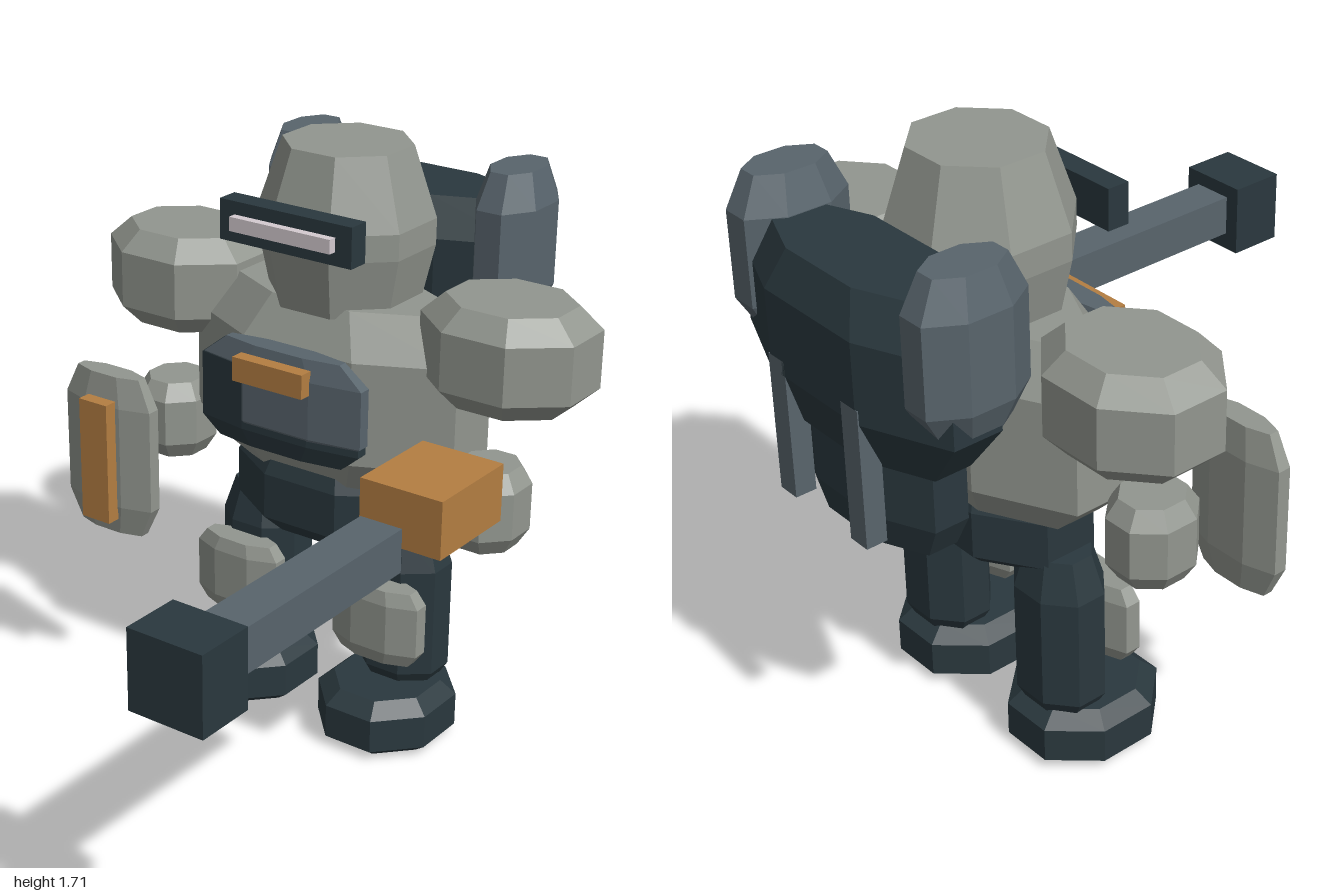
import * as THREE from 'three';

const mat = (name, color) => {
  const m = new THREE.MeshStandardMaterial({ color });
  m.name = name;
  return m;
};

export function createModel() {
  const armor = mat('grey armour', 0x92968f);
  const dark = mat('dark frame', 0x2a383e);
  const slate = mat('slate metal', 0x58646c);
  const orange = mat('orange accent', 0xb47e42);
  const glow = mat('pale visor', 0xd4cbd0);
  const model = new THREE.Group();
  model.name = 'mech';

  const add = (name, geo, material, x, y, z) => {
    const mesh = new THREE.Mesh(geo, material);
    mesh.name = name;
    mesh.position.set(x, y, z);
    model.add(mesh);
    return mesh;
  };

  // Flat-shaded octagonal block with tapered ends; rx and rz are half extents
  const block = (name, material, [x, z], [rx, rz], [y0, y1], {
    low = 0.73, high = 0.73, cutLow = 0.05, cutHigh = 0.05 } = {}) => {
    const rings = [[0, y0], [low, y0], [1, y0 + cutLow], [1, y1 - cutHigh], [high, y1], [0, y1]];
    const k = 1 / Math.cos(Math.PI / 8);
    const lathe = new THREE.LatheGeometry(rings.map(([r, y]) => new THREE.Vector2(r * k, y)), 8);
    lathe.rotateY(Math.PI / 8).scale(rx, 1, rz);
    const geo = lathe.toNonIndexed();
    geo.computeVertexNormals();
    return add(name, geo, material, x, 0, z);
  };

  // Box given by its limits on each axis
  const box = (name, material, [x0, x1], [y0, y1], [z0, z1]) =>
    add(name, new THREE.BoxGeometry(x1 - x0, y1 - y0, z1 - z0), material,
      (x0 + x1) / 2, (y0 + y1) / 2, (z0 + z1) / 2);

  // Torso and pelvis
  block('torso', armor, [0, -0.465], [0.44, 0.215], [0.765, 1.287],
    { low: 0.77, high: 0.71, cutLow: 0.1, cutHigh: 0.12 });
  block('pelvis', dark, [0, -0.455], [0.295, 0.185], [0.565, 0.8], { low: 0.75, high: 0.9 });

  // Chest plate: dark block with a slate block laid over its upper part
  block('chestPlate', dark, [-0.003, -0.192], [0.265, 0.043], [0.885, 1.183],
    { low: 0.78, high: 0.72, cutLow: 0.05, cutHigh: 0.06 });
  block('chestPlateUpper', slate, [0.003, -0.192], [0.264, 0.044], [0.94, 1.187],
    { low: 0.9, high: 0.72, cutLow: 0.02, cutHigh: 0.06 });
  box('chestBadge', orange, [-0.118, 0.115], [1.09, 1.16], [-0.155, -0.113]);

  // Head and visor
  block('head', armor, [0, -0.48], [0.235, 0.225], [1.26, 1.705],
    { low: 0.85, high: 0.73, cutLow: 0.17, cutHigh: 0.2 });
  box('visorFrame', dark, [-0.217, 0.215], [1.457, 1.572], [-0.255, -0.19]);
  box('visorSlit', glow, [-0.167, 0.163], [1.495, 1.535], [-0.19, -0.165]);

  // Backpack
  block('backpack', dark, [0, -0.83], [0.42, 0.17], [1.05, 1.52],
    { low: 0.75, high: 0.75, cutLow: 0.14, cutHigh: 0.11 });
  block('backpackLower', dark, [0, -0.815], [0.28, 0.122], [0.785, 1.2],
    { low: 0.85, cutLow: 0.09 });

  // Mirrored parts
  for (const s of [-1, 1]) {
    const side = s > 0 ? 'left' : 'right';
    block(side + 'Shoulder', armor, [s * 0.543, -0.468], [0.234, 0.195], [1.085, 1.37],
      { cutLow: 0.06, cutHigh: 0.06 });
    block(side + 'Hand', armor, [s * 0.54, -0.398], [0.108, 0.116], [0.685, 0.92]);
    block(side + 'Leg', dark, [s * 0.245, -0.457], [0.13, 0.107], [0.14, 0.635],
      { cutHigh: 0.11, cutLow: 0.06 });
    block(side + 'KneePad', armor, [s * 0.245, -0.325], [0.143, 0.055], [0.265, 0.495],
      { low: 0.8, high: 0.8, cutLow: 0.04, cutHigh: 0.04 });
    block(side + 'Foot', dark, [s * 0.245, -0.38], [0.185, 0.2], [0, 0.17],
      { low: 0.8, high: 0.77, cutLow: 0.03, cutHigh: 0.04 });
    block(side + 'BackPod', slate, [s * 0.352, -0.802], [0.095, 0.153], [1.2, 1.622],
      { low: 0.7, high: 0.7, cutLow: 0.08, cutHigh: 0.1 });
    box(side + 'BackFin', slate, [s * 0.15 - 0.033, s * 0.15 + 0.033], [0.84, 1.23], [-1, -0.94]);
  }

  // Shield
  block('shield', armor, [-0.545, -0.103], [0.154, 0.047], [0.53, 1.02],
    { cutLow: 0.09, cutHigh: 0.09 });
  box('shieldStripe', orange, [-0.595, -0.495], [0.58, 0.95], [-0.06, -0.017]);

  // Cannon
  box('cannonBody', orange, [0.413, 0.663], [0.835, 1], [-0.257, 0.04]);
  box('cannonBarrel', slate, [0.477, 0.603], [0.82, 0.943], [0.13, 0.84]);
  box('cannonMuzzle', dark, [0.431, 0.648], [0.768, 0.985], [0.832, 1]);

  return model;
}
